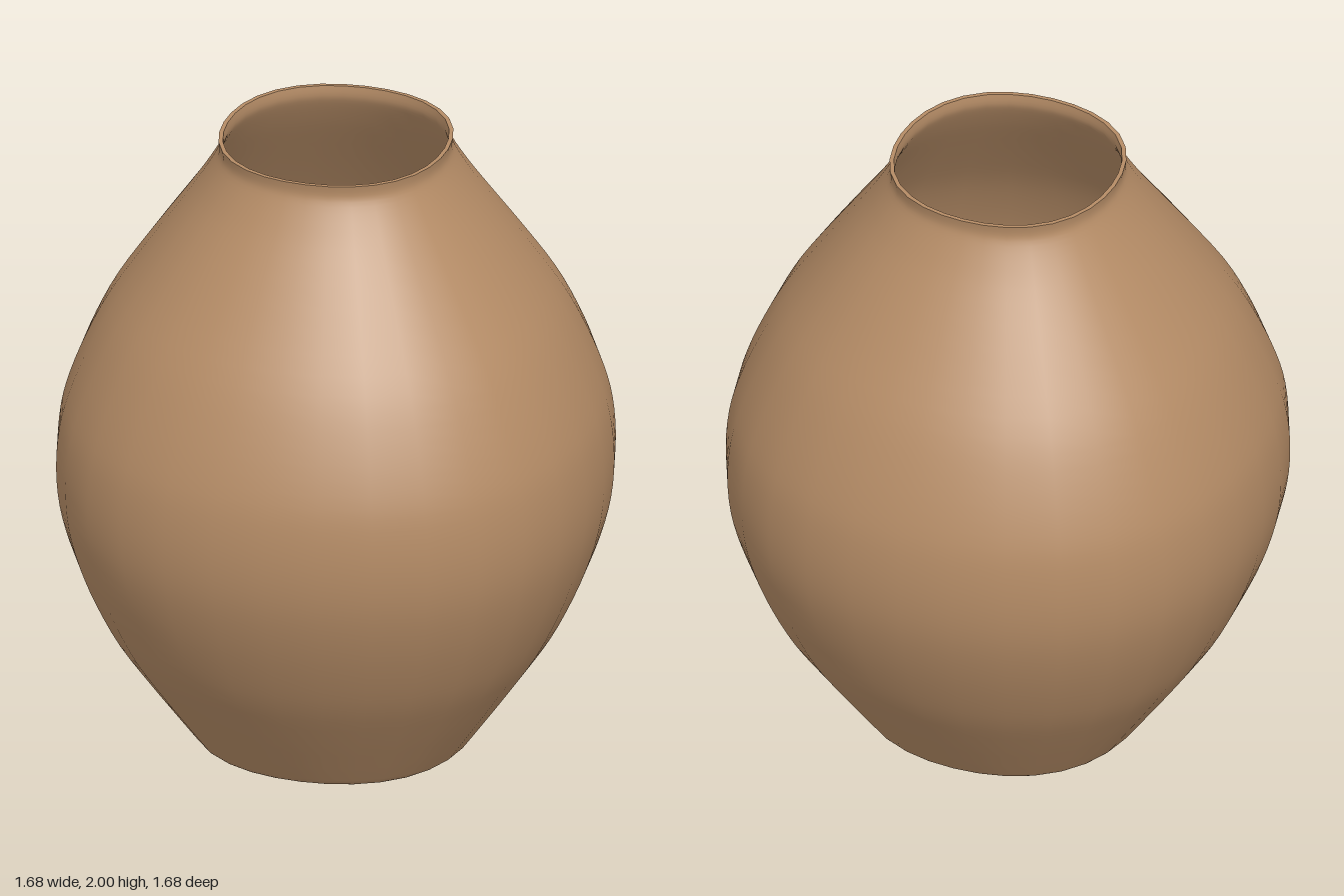
import * as THREE from 'three';
import { mergeVertices } from 'three/addons/utils/BufferGeometryUtils.js';

const SEGMENTS = 32;
const WALL = 0.013;

// Revolved profile, swelled slightly towards the diagonals for a soft squarish plan
function turned(points) {
  let geo = new THREE.LatheGeometry(points, SEGMENTS);
  geo.deleteAttribute('uv');
  geo.deleteAttribute('normal');
  const pos = geo.attributes.position;
  for (let i = 0; i < pos.count; i++) {
    const x = pos.getX(i), z = pos.getZ(i);
    const k = 1 + 0.0165 * (1 - Math.cos(4 * Math.atan2(x, z)));
    pos.setX(i, x * k);
    pos.setZ(i, z * k);
  }
  geo = mergeVertices(geo, 1e-5); // closes the seam so shading stays smooth
  geo.computeVertexNormals();
  return geo;
}

export function createModel() {
  const group = new THREE.Group();
  group.name = 'vase';
  const clay = new THREE.MeshStandardMaterial({ color: 0xb58c66 });
  clay.name = 'clay';

  const add = (name, points) => {
    const mesh = new THREE.Mesh(turned(points), clay);
    mesh.name = name;
    group.add(mesh);
  };

  // Side profile from foot to lip: radius, height
  const side = new THREE.SplineCurve([
    [0.40, 0.014], [0.42, 0.026], [0.442, 0.055], [0.495, 0.13], [0.575, 0.245],
    [0.67, 0.39], [0.744, 0.54], [0.797, 0.68], [0.829, 0.81], [0.839, 0.94],
    [0.829, 1.07], [0.802, 1.18], [0.75, 1.315], [0.68, 1.455], [0.575, 1.615],
    [0.453, 1.79], [0.40, 1.87], [0.362, 1.935], [0.35, 1.968], [0.352, 2],
  ].map(([r, y]) => new THREE.Vector2(r, y))).getPoints(57);

  // Outer body with a nearly flat base
  const base = [[0, 0], [0.2, 0.002], [0.34, 0.006], [0.38, 0.009]]
    .map(([r, y]) => new THREE.Vector2(r, y));
  add('body', [...base, ...side]);

  // Lip between the outer and inner walls
  const lip = side[side.length - 1];
  add('rim', [lip, new THREE.Vector2(lip.x - WALL, lip.y)]);

  // Inner wall and floor
  const inner = side.filter((p) => p.y > 0.04)
    .map((p) => new THREE.Vector2(p.x - WALL, p.y)).reverse();
  add('interior', [...inner, new THREE.Vector2(0.38, 0.03), new THREE.Vector2(0, 0.02)]);

  return group;
}
